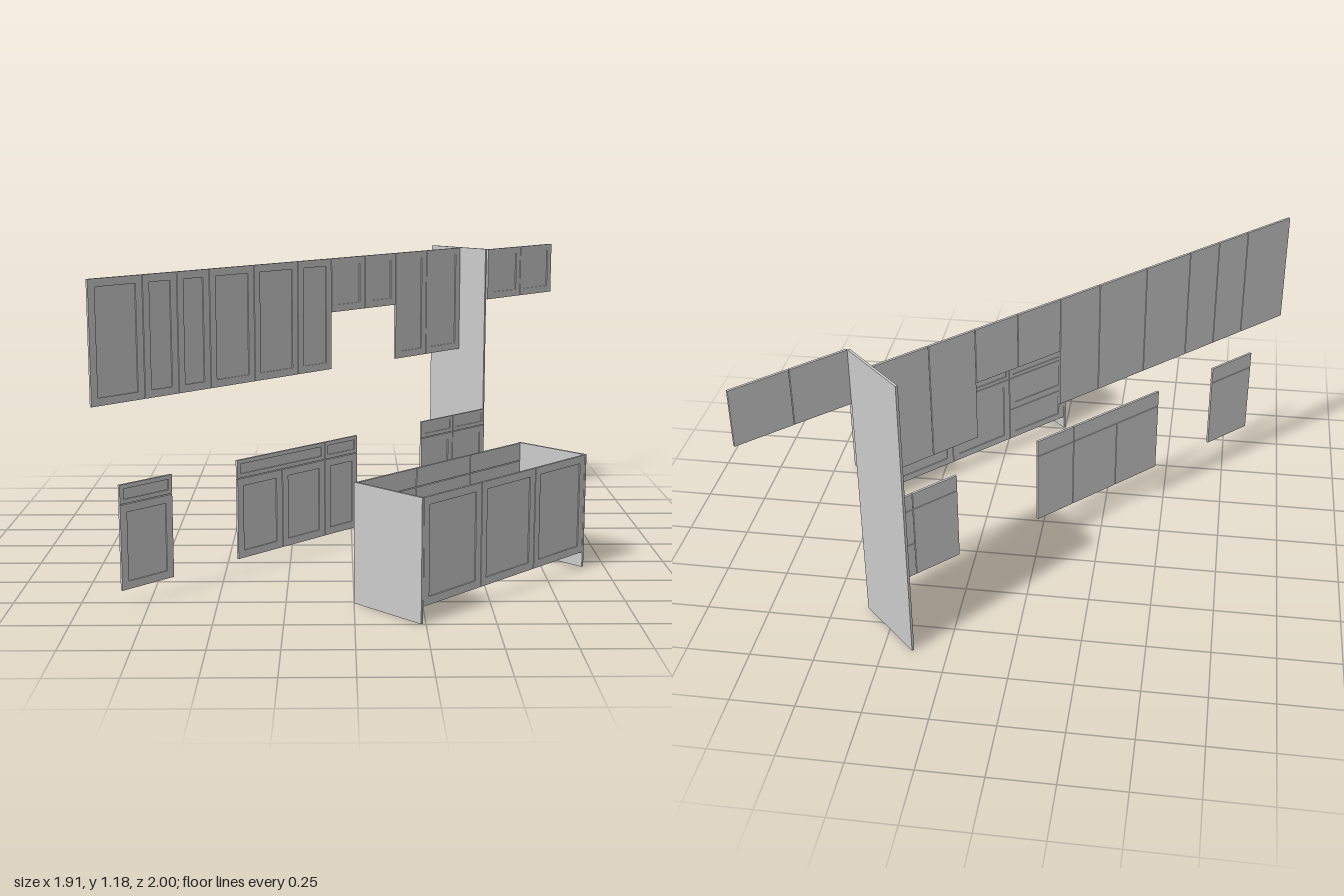
import * as THREE from 'three';

const MAT = new THREE.MeshStandardMaterial({ color: 0xcccccc });
const T = 0.01;      // board thickness
const GAP = 0.0015;  // half the gap between neighbouring fronts

// Heights of the rows
const BASE = 0.06, DRAWER = 0.382, COUNTER = 0.457;
const WALL = 0.717, SHORT = 0.957, TOP = 1.185;

function rect(path, x0, y0, x1, y1) {
  path.moveTo(x0, y0);
  path.lineTo(x1, y0);
  path.lineTo(x1, y1);
  path.lineTo(x0, y1);
  path.closePath();
  return path;
}

// Framed front with a recessed field; its back lies on z = 0, its face on z = T
function framedFront(name, w, h) {
  const group = new THREE.Group();
  group.name = name;
  const f = Math.min(0.03, h * 0.23);
  const shape = rect(new THREE.Shape(), -w / 2, -h / 2, w / 2, h / 2);
  shape.holes.push(rect(new THREE.Path(), -w / 2 + f, -h / 2 + f, w / 2 - f, h / 2 - f));
  const frame = new THREE.Mesh(
    new THREE.ExtrudeGeometry(shape, { depth: T, bevelEnabled: false }), MAT);
  frame.name = name + 'Frame';
  const field = new THREE.Mesh(new THREE.BoxGeometry(w - 2 * f, h - 2 * f, T * 0.55), MAT);
  field.name = name + 'Field';
  field.position.z = T * 0.275;
  group.add(frame, field);
  return group;
}

// Places a front between x0..x1 and y0..y1 with its outer face at z
function addFront(parent, name, x0, x1, y0, y1, z, facing = 1) {
  const front = framedFront(name, x1 - x0 - 2 * GAP, y1 - y0 - 2 * GAP);
  front.position.set((x0 + x1) / 2, (y0 + y1) / 2, z - facing * T);
  if (facing < 0) front.rotation.y = Math.PI;
  parent.add(front);
}

// Stack of three drawers
function addDrawerStack(parent, x0, x1, z, facing = 1) {
  const ys = [BASE, 0.217, DRAWER, COUNTER];
  for (let i = 0; i < 3; i++) addFront(parent, 'drawerFront', x0, x1, ys[i], ys[i + 1], z, facing);
}

// Drawer above one door
function addDrawerAndDoor(parent, x0, x1, z, facing = 1) {
  addFront(parent, 'drawerFront', x0, x1, DRAWER, COUNTER, z, facing);
  addFront(parent, 'baseDoor', x0, x1, BASE, DRAWER, z, facing);
}

function addBoard(parent, name, x0, x1, y0, y1, z0, z1) {
  const mesh = new THREE.Mesh(new THREE.BoxGeometry(x1 - x0, y1 - y0, z1 - z0), MAT);
  mesh.name = name;
  mesh.position.set((x0 + x1) / 2, (y0 + y1) / 2, (z0 + z1) / 2);
  parent.add(mesh);
}

function section(parent, name) {
  const group = new THREE.Group();
  group.name = name;
  parent.add(group);
  return group;
}

export function createModel() {
  const model = new THREE.Group();
  model.name = 'kitchenFronts';
  // The whole kitchen runs diagonally: local x along the wall, local z into the room
  const kitchen = section(model, 'kitchen');
  kitchen.rotation.y = Math.PI / 4;

  // Wall cabinet doors, shorter over the cooker
  const wall = section(kitchen, 'wallCabinets');
  const xs = [-1.161, -0.916, -0.754, -0.595, -0.365, -0.127, 0.067, 0.269, 0.4625, 0.665, 0.897];
  for (let i = 0; i < xs.length - 1; i++) {
    const short = i === 6 || i === 7;
    addFront(wall, short ? 'shortWallDoor' : 'wallDoor', xs[i], xs[i + 1], short ? SHORT : WALL, TOP, -0.185);
  }

  // Tall side panel and the doors above the fridge
  const zFront = -0.029;
  const fridge = section(kitchen, 'fridgeSurround');
  addBoard(fridge, 'fridgeSidePanel', 0.898, 0.908, 0, TOP, -0.359, zFront - T);
  addFront(fridge, 'fridgeTopDoor', 0.905, 1.142, SHORT, TOP, zFront);
  addFront(fridge, 'fridgeTopDoor', 1.142, 1.379, SHORT, TOP, zFront);

  // Base cabinets along the wall
  const base = section(kitchen, 'baseCabinets');
  addDrawerAndDoor(base, -1.162, -0.921, zFront);
  addFront(base, 'sinkFront', -0.603, -0.129, DRAWER, COUNTER, zFront);
  addFront(base, 'sinkDoor', -0.603, -0.366, BASE, DRAWER, zFront);
  addFront(base, 'sinkDoor', -0.366, -0.129, BASE, DRAWER, zFront);
  addDrawerAndDoor(base, -0.129, 0.062, zFront);
  addDrawerAndDoor(base, 0.464, 0.675, zFront);
  addDrawerStack(base, 0.675, 0.898, zFront);

  // Island: doors towards the room, drawers towards the wall
  const island = section(kitchen, 'island');
  const [x0, x1, zBack, zRoom] = [-0.541, 0.428, 0.541, 0.87];
  const step = (x1 - x0 - 2 * T) / 3;
  for (let i = 0; i < 3; i++) {
    const a = x0 + T + i * step;
    addFront(island, 'islandDoor', a, a + step, BASE, COUNTER, zRoom);
    if (i === 1) addDrawerAndDoor(island, a, a + step, zBack, -1);
    else addDrawerStack(island, a, a + step, zBack, -1);
  }
  addBoard(island, 'islandPlainEnd', x0, x0 + T, 0, COUNTER, zBack, zRoom);
  const end = framedFront('islandFramedEnd', zRoom - zBack, COUNTER);
  end.rotation.y = Math.PI / 2;
  end.position.set(x1 - T, COUNTER / 2, (zBack + zRoom) / 2);
  island.add(end);

  return model;
}
